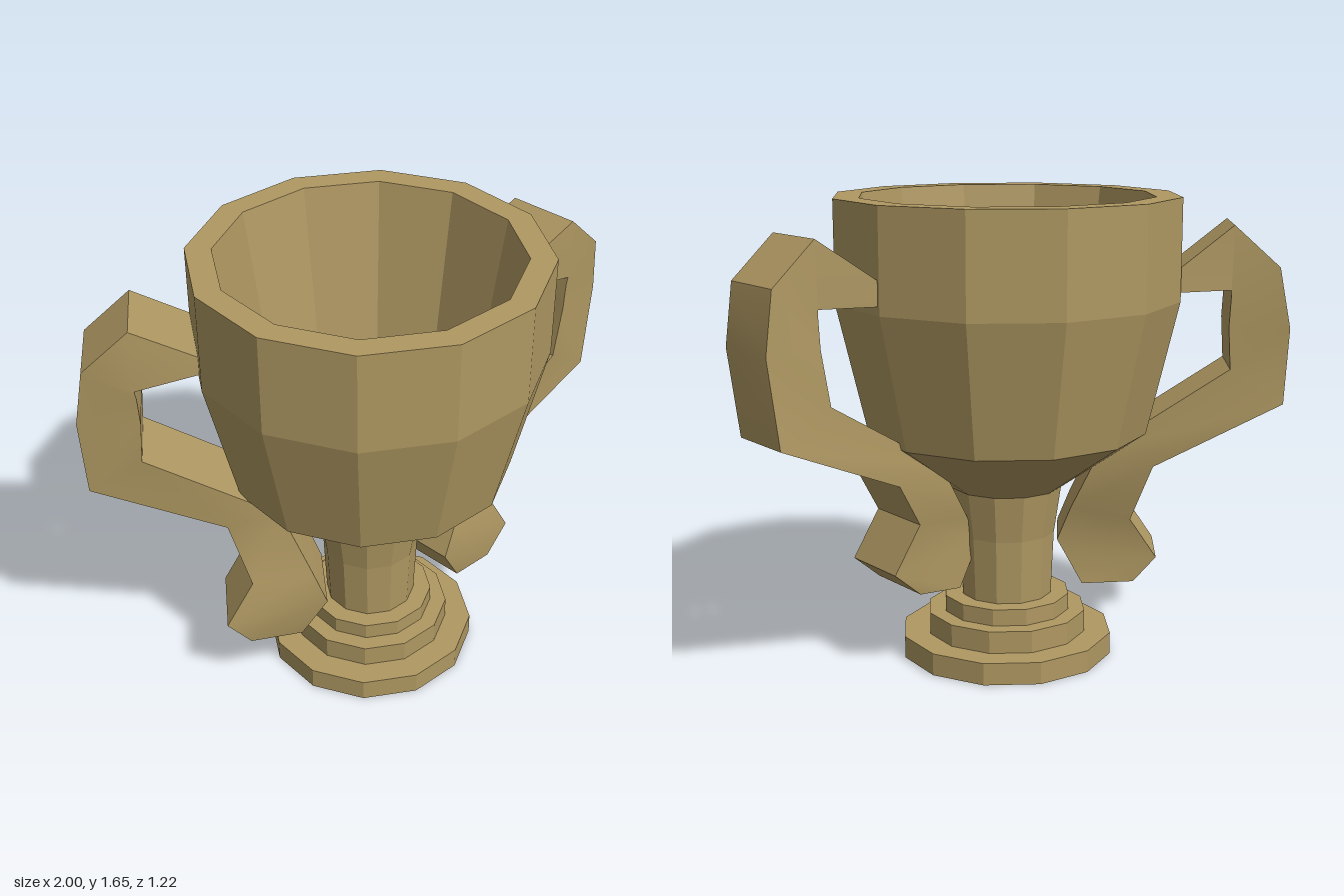
import * as THREE from 'three';
import { toCreasedNormals } from 'three/addons/utils/BufferGeometryUtils.js';

const bronze = new THREE.MeshStandardMaterial({ color: 0xaf9862, flatShading: true });
const bronzeCreased = new THREE.MeshStandardMaterial({ color: 0xaf9862 });

// Twelve-sided turned part from a profile of [radius, height]
function turned(name, profile) {
  const points = profile.map(([r, y]) => new THREE.Vector2(r, y));
  const mesh = new THREE.Mesh(new THREE.LatheGeometry(points, 12), bronze);
  mesh.name = name;
  return mesh;
}

// Handle stations: outer front corner, then inner front corner, as x, y, z
const upperStations = [
  [0.52, 1.345, -0.05, 0.52, 1.33, -0.05],
  [0.82, 1.555, -0.05, 0.82, 1.33, -0.05],
  [0.97, 1.41, -0.11, 0.815, 1.3, -0.05],
  [1.0, 1.2, -0.14, 0.81, 1.2, -0.05],
];
const leftFoot = [
  [0.96, 0.89, -0.115, 0.78, 1.01, -0.045],
  [0.545, 0.71, 0.0, 0.38, 0.755, 0.075],
  [0.455, 0.545, 0.085, 0.26, 0.53, 0.17],
  [0.55, 0.374, 0.07, 0.21, 0.43, 0.2],
  [0.45, 0.283, 0.11, 0.294, 0.278, 0.15],
];
const rightFoot = [
  [0.99, 0.93, -0.13, 0.82, 1.05, -0.05],
  [0.556, 0.706, 0.0, 0.385, 0.76, 0.075],
  [0.508, 0.492, 0.085, 0.31, 0.53, 0.17],
  [0.615, 0.337, 0.09, 0.27, 0.406, 0.2],
  [0.535, 0.246, 0.11, 0.35, 0.245, 0.15],
];

// Four-sided bar swept through the stations; side is +1 or -1
function handle(name, stations, side) {
  const backX = -0.09, backZ = -0.245;
  const positions = [], index = [];
  const tri = (a, b, c) => index.push(...(side > 0 ? [a, b, c] : [a, c, b]));
  for (const [ox, oy, oz, ix, iy, iz] of stations) {
    positions.push(
      side * ox, oy, oz,
      side * (ox + backX), oy, oz + backZ,
      side * (ix + backX), iy, iz + backZ,
      side * ix, iy, iz,
    );
  }
  for (let s = 0; s < stations.length - 1; s++) {
    for (let k = 0; k < 4; k++) {
      const a = s * 4 + k, b = s * 4 + (k + 1) % 4;
      tri(a, a + 4, b + 4);
      tri(a, b + 4, b);
    }
  }
  // Closed ends
  const e = (stations.length - 1) * 4;
  tri(0, 1, 2);
  tri(0, 2, 3);
  tri(e, e + 2, e + 1);
  tri(e, e + 3, e + 2);

  const geometry = new THREE.BufferGeometry();
  geometry.setAttribute('position', new THREE.Float32BufferAttribute(positions, 3));
  geometry.setIndex(index);
  const mesh = new THREE.Mesh(toCreasedNormals(geometry, 0.5), bronzeCreased);
  mesh.name = name;
  return mesh;
}

export function createModel() {
  const trophy = new THREE.Group();
  trophy.name = 'trophyCup';

  // Three-stepped base
  trophy.add(turned('base', [
    [0, 0], [0.385, 0], [0.385, 0.08], [0.29, 0.08], [0.29, 0.16],
    [0.23, 0.16], [0.23, 0.22], [0, 0.22],
  ]));

  // Stem and hollow bowl in one profile: up the outside, over the rim, down to the floor
  trophy.add(turned('stemAndBowl', [
    [0.165, 0.22], [0.175, 0.45], [0.2, 0.62], [0.5, 0.83], [0.61, 1.3],
    [0.61, 1.655], [0.52, 1.655], [0.4, 0.87], [0, 0.87],
  ]));

  // Twisted side handles, with slightly different feet
  trophy.add(handle('leftHandle', [...upperStations, ...leftFoot], 1));
  trophy.add(handle('rightHandle', [...upperStations, ...rightFoot], -1));

  return trophy;
}
